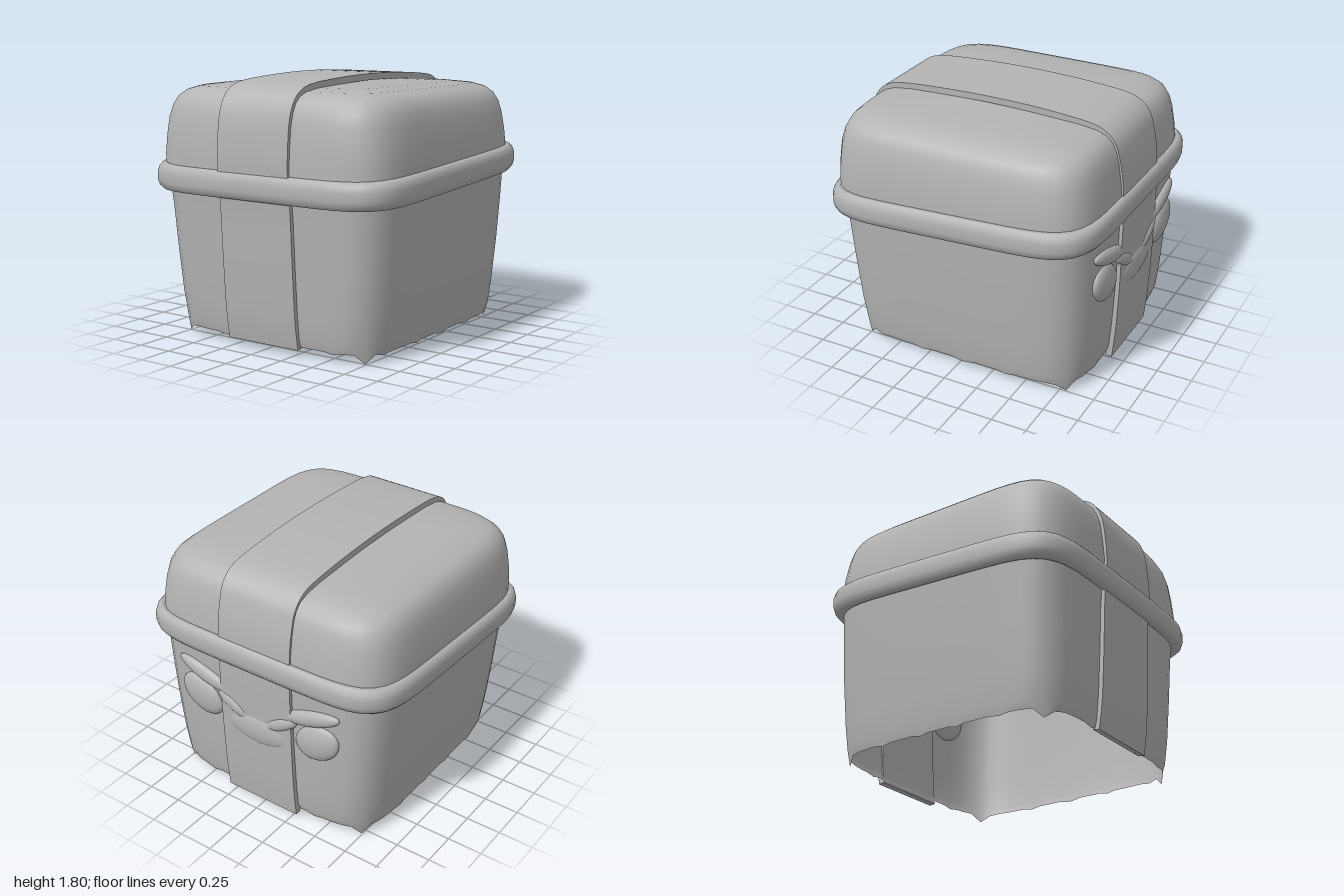
import * as THREE from 'three';
import { toCreasedNormals } from 'three/addons/utils/BufferGeometryUtils.js';

const SEG = 96;
const CORNER = 6.5; // squareness of the rounded cross-sections
const TILT = -0.053; // the rim rises toward the back

// Skin a stack of rounded-square rings: [y, halfWidth, zFront, zBack, tilt]
function loft(rings, adjust) {
  const pos = [], idx = [];
  rings.forEach(([y, hx, zf, zb, tilt = 0], j) => {
    for (let i = 0; i < SEG; i++) {
      const a = (i / SEG) * Math.PI * 2, c = Math.cos(a), s = Math.sin(a);
      const r = (Math.abs(c) ** CORNER + Math.abs(s) ** CORNER) ** (-1 / CORNER);
      const x = hx * r * c;
      const z = (zf + zb) / 2 + ((zf - zb) / 2) * r * s;
      pos.push(x, y + tilt * z + (adjust ? adjust(j, i) : 0), z);
    }
  });
  for (let j = 0; j < rings.length - 1; j++) {
    for (let i = 0; i < SEG; i++) {
      const n = (i + 1) % SEG, a = j * SEG + i, b = j * SEG + n;
      idx.push(a, a + SEG, b, b, a + SEG, b + SEG);
    }
  }
  const g = new THREE.BufferGeometry();
  g.setAttribute('position', new THREE.Float32BufferAttribute(pos, 3));
  g.setIndex(idx);
  g.computeVertexNormals();
  return g;
}

// Thin band following a (z, y) path, centred on x
function band(points, width, thickness) {
  const curve = new THREE.SplineCurve(points.map(([z, y]) => new THREE.Vector2(z, y)));
  const outer = [], inner = [];
  for (let i = 0; i <= 90; i++) {
    const p = curve.getPoint(i / 90), t = curve.getTangent(i / 90);
    outer.push(p);
    inner.unshift(new THREE.Vector2(p.x - t.y * thickness, p.y + t.x * thickness));
  }
  const g = new THREE.ExtrudeGeometry(new THREE.Shape([...outer, ...inner]), {
    depth: width, bevelEnabled: false, curveSegments: 1,
  });
  g.translate(0, 0, -width / 2);
  g.rotateY(-Math.PI / 2);
  return toCreasedNormals(g, 0.6);
}

export function createModel() {
  const group = new THREE.Group();
  const grey = new THREE.MeshStandardMaterial({ color: 0xb4b4b4, side: THREE.DoubleSide });
  grey.name = 'plain grey';
  const add = (name, geometry, parent = group) => {
    const m = new THREE.Mesh(geometry, grey);
    m.name = name;
    parent.add(m);
    return m;
  };

  // Open-bottomed body with a slightly ragged lower edge
  add('body', loft([
    [0.065, 0.825, 0.84, -0.88],
    [0.12, 0.84, 0.855, -0.9],
    [0.3, 0.862, 0.875, -0.915],
    [0.6, 0.89, 0.895, -0.93],
    [0.9, 0.913, 0.912, -0.938],
    [1.14, 0.93, 0.93, -0.945, TILT],
  ], (j, i) => (j === 0 && i % 12 === 0 && i % 24 !== 0 ? -0.06 : j === 0 && i % 5 === 0 ? -0.012 : 0)));

  // Softly domed lid
  add('lid', loft([
    [1.14, 0.945, 0.955, -0.955, TILT],
    [1.27, 0.947, 0.952, -0.952],
    [1.4, 0.938, 0.943, -0.938],
    [1.52, 0.922, 0.93, -0.92],
    [1.6, 0.903, 0.908, -0.9],
    [1.66, 0.872, 0.878, -0.872],
    [1.7, 0.825, 0.835, -0.83],
    [1.727, 0.75, 0.76, -0.76],
    [1.743, 0.62, 0.63, -0.63],
    [1.756, 0.35, 0.36, -0.36],
    [1.762, 0, 0, 0],
  ]));

  // Rounded rim around the seam
  add('rim', loft([
    [-0.075, 0.915], [-0.092, 0.945], [-0.088, 0.97], [-0.065, 0.988], [-0.03, 0.998],
    [0.03, 0.998], [0.065, 0.99], [0.088, 0.972], [0.094, 0.95], [0.07, 0.925],
  ].map(([dy, h]) => [1.157 + dy, h, h - 0.004, -h, TILT])));

  // Ribbon running up the front, over the lid and down the back
  add('ribbon', band([
    [0.87, 0.05], [0.9, 0.25], [0.925, 0.6], [0.945, 0.95], [0.97, 1.2], [0.965, 1.4],
    [0.945, 1.56], [0.9, 1.67], [0.82, 1.742], [0.68, 1.778], [0.35, 1.8], [0, 1.808],
    [-0.35, 1.8], [-0.68, 1.775], [-0.81, 1.738], [-0.89, 1.66], [-0.928, 1.54],
    [-0.952, 1.4], [-0.965, 1.2], [-0.965, 0.95], [-0.96, 0.6], [-0.945, 0.25], [-0.925, 0.04],
  ], 0.58, 0.045));

  // Low-relief bow on the back
  const bow = new THREE.Group();
  bow.name = 'bow';
  group.add(bow);
  const pad = (name, x, y, z, sx, sy, sz, turn) => {
    const m = add(name, new THREE.SphereGeometry(1, 28, 18), bow);
    m.position.set(x, y, z);
    m.scale.set(sx, sy, sz);
    m.rotation.z = turn;
  };
  for (const s of [1, -1]) {
    pad('bowLoop', s * 0.48, 0.75, -0.93, 0.18, 0.13, 0.05, s * 0.5);
    pad('bowUpperLoop', s * 0.43, 0.93, -0.935, 0.24, 0.06, 0.045, s * 0.3);
    pad('bowTail', s * 0.2, 0.79, -0.945, 0.15, 0.05, 0.035, s * 0.5);
  }
  pad('bowKnot', 0, 0.66, -0.945, 0.25, 0.11, 0.037, 0);

  return group;
}
